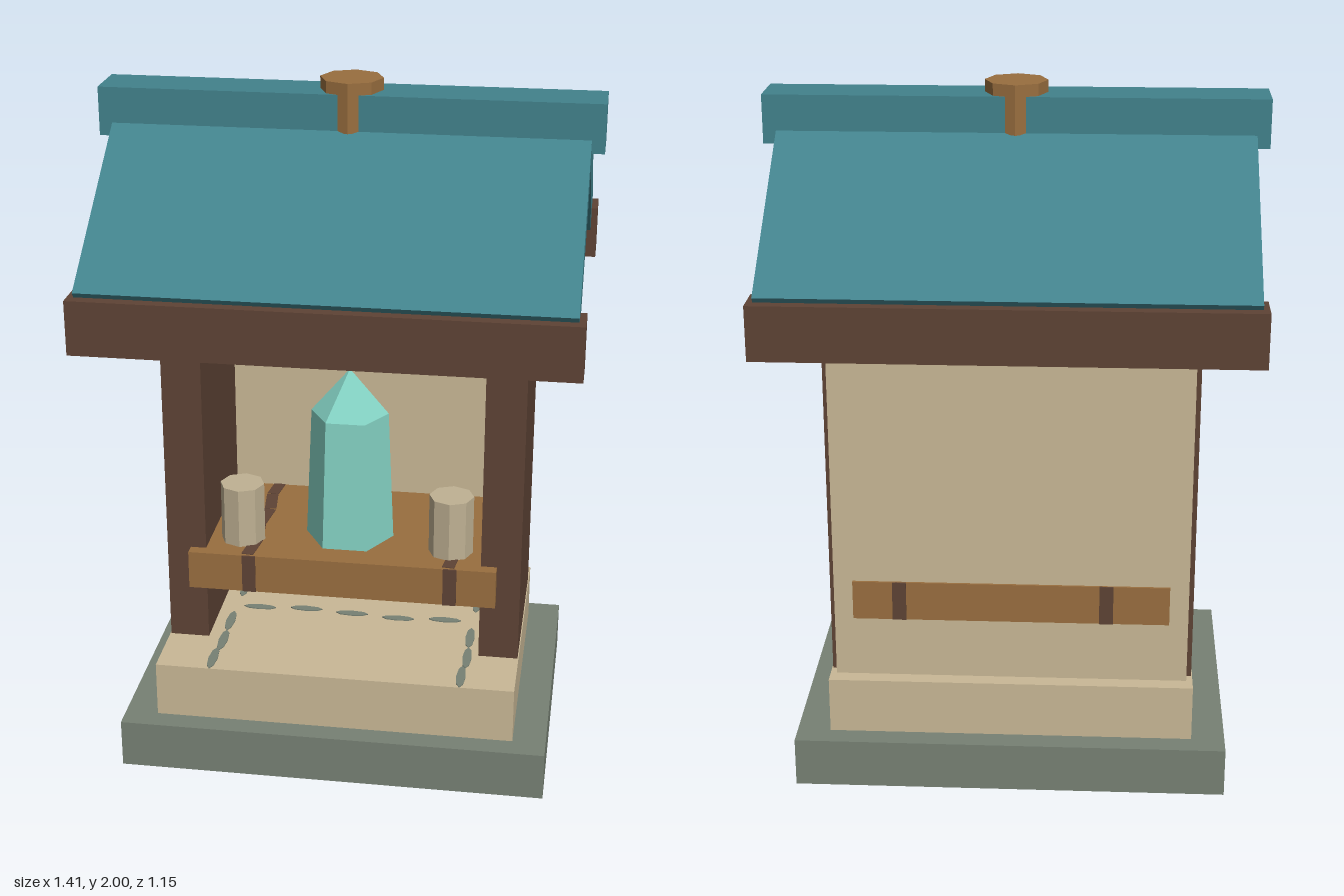
import * as THREE from 'three';

const mat = (name, color, extra = {}) => {
  const m = new THREE.MeshStandardMaterial({ color, ...extra });
  m.name = name;
  return m;
};

export function createModel() {
  const model = new THREE.Group();
  model.name = 'shrine';
  const stone = mat('grey stone', 0x778174);
  const sand = mat('sandstone', 0xc9b896);
  const timber = mat('dark timber', 0x5e4335);
  const wood = mat('warm wood', 0x996e3f);
  const teal = mat('teal roof', 0x42828c);
  const crystalMat = mat('crystal', 0x84d2c3, { flatShading: true });
  const wax = mat('candle wax', 0xbfb193, { flatShading: true });
  const woodFlat = mat('finial wood', 0x996e3f, { flatShading: true });

  const add = (name, geometry, material, x = 0, y = 0, z = 0) => {
    const mesh = new THREE.Mesh(geometry, material);
    mesh.name = name;
    mesh.position.set(x, y, z);
    model.add(mesh);
    return mesh;
  };
  // Box given by its extents on each axis
  const box = (name, material, [x0, x1], [y0, y1], [z0, z1]) =>
    add(name, new THREE.BoxGeometry(x1 - x0, y1 - y0, z1 - z0), material,
      (x0 + x1) / 2, (y0 + y1) / 2, (z0 + z1) / 2);

  // Stepped base
  box('baseSlab', stone, [-0.627, 0.627], [0, 0.145], [-0.455, 0.455]);
  box('plinth', sand, [-0.53, 0.53], [0.145, 0.312], [-0.39, 0.39]);

  // Worn joints on top of the plinth: short flat ovals
  const joint = (x, z, length, alongZ) => {
    const geo = new THREE.CylinderGeometry(0.5, 0.5, 0.004, 8);
    geo.scale(alongZ ? 0.028 : length, 1, alongZ ? length : 0.028);
    add('stoneJoint', geo, stone, x, 0.313, z);
  };
  for (const x of [-0.365, 0.375]) {
    for (const z of [0.33, 0.22, 0.1, -0.12, -0.24]) joint(x + 0.01 * Math.sin(z * 30), z, 0.12, true);
  }
  for (let i = -2; i <= 2; i++) joint(i * 0.145, 0.01 * (i % 2), 0.1, false);

  // Walls
  for (const s of [-1, 1]) {
    add('sideWall', new THREE.BoxGeometry(0.117, 1.156, 0.515), timber, s * 0.4685, 0.89, -0.0575);
  }
  box('backPanel', sand, [-0.512, 0.512], [0.312, 1.4], [-0.345, -0.27]);

  // Shelf with dark bands across it
  box('shelf', wood, [-0.457, 0.457], [0.495, 0.612], [-0.352, 0.235]);
  for (const x of [-0.275, 0.322]) {
    for (const z of [0.235, -0.352]) {
      box('shelfBand', timber, [x - 0.02, x + 0.02], [0.495, 0.612], [z - 0.003, z + 0.003]);
    }
    for (let i = 0; i < 5; i++) {
      const dash = box('shelfBandTop', timber, [x - 0.018, x + 0.018], [0.609, 0.614],
        [0.125 - i * 0.105, 0.225 - i * 0.105]);
      dash.rotation.y = i % 2 ? 0.12 : -0.12;
    }
  }

  // Candles
  for (const s of [-1, 1]) {
    add('candle', new THREE.CylinderGeometry(0.066, 0.066, 0.182, 8), wax, s * 0.313, 0.703, 0.115);
  }

  // Crystal: tapered six-sided shaft with a point
  const shaft = new THREE.CylinderGeometry(0.115, 0.132, 0.4, 6, 1, true);
  const tip = new THREE.ConeGeometry(0.115, 0.135, 6, 1, true);
  add('crystalShaft', shaft, crystalMat, 0, 0.812, 0.04).rotation.y = Math.PI / 6;
  add('crystalTip', tip, crystalMat, 0, 1.0795, 0.04).rotation.y = Math.PI / 6;

  // Gabled roof, extruded along x
  const gable = new THREE.Shape([
    [0, 1.92], [-0.553, 1.525], [-0.483, 1.43], [0, 1.775], [0.483, 1.43], [0.553, 1.525],
  ].map(([z, y]) => new THREE.Vector2(z, y)));
  const roofGeo = new THREE.ExtrudeGeometry(gable, { depth: 1.336, bevelEnabled: false });
  roofGeo.translate(0, 0, -0.668);
  roofGeo.rotateY(Math.PI / 2);
  add('roof', roofGeo, teal);
  box('ridgeBeam', teal, [-0.705, 0.705], [1.828, 1.966], [-0.077, 0.077]);

  // Eave beams
  for (const s of [-1, 1]) {
    add('eaveBeam', new THREE.BoxGeometry(1.372, 0.154, 0.107), timber, 0, 1.433, s * 0.5215);
  }

  // Eight-sided finial through the ridge
  add('finial', new THREE.CylinderGeometry(0.089, 0.089, 0.14, 8), woodFlat, 0, 1.93, 0);

  return model;
}
